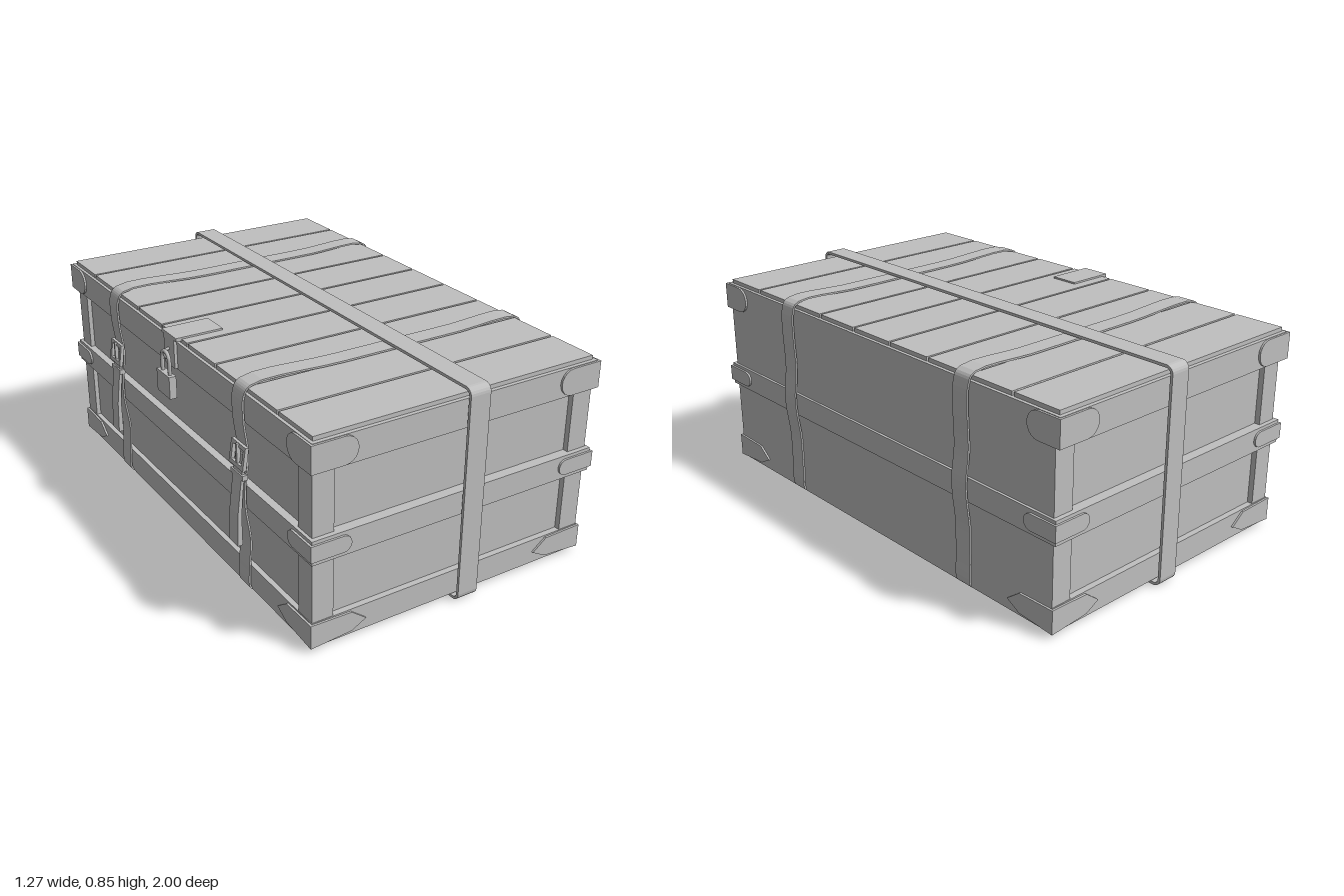
import * as THREE from 'three';

export function createModel() {
  const g = new THREE.Group();
  const grey = new THREE.MeshStandardMaterial({ color: 0xc0c0c0 });
  grey.name = 'plain grey';

  const add = (name, geo) => {
    const m = new THREE.Mesh(geo, grey);
    m.name = name;
    g.add(m);
    return m;
  };
  // box from its limits
  const box = (name, x0, x1, y0, y1, z0, z1) => {
    const geo = new THREE.BoxGeometry(x1 - x0, y1 - y0, z1 - z0);
    geo.translate((x0 + x1) / 2, (y0 + y1) / 2, (z0 + z1) / 2);
    return add(name, geo);
  };
  const extrude = (shape, depth) => {
    const geo = new THREE.ExtrudeGeometry(shape, { depth, bevelEnabled: false, curveSegments: 10 });
    return geo.translate(0, 0, -depth / 2);
  };
  // closed band: outline pushed inwards (outline runs anticlockwise)
  const bandShape = (pts, t) => {
    const n = pts.length;
    const inner = pts.map((p, i) => {
      const d = pts[(i + 1) % n].clone().sub(pts[(i + n - 1) % n]).normalize();
      return new THREE.Vector2(p.x - d.y * t, p.y + d.x * t);
    });
    const s = new THREE.Shape(pts);
    s.holes.push(new THREE.Path(inner));
    return s;
  };
  const V = (a) => a.map(([x, y]) => new THREE.Vector2(x, y));

  // crate core; the end panels and the hasp side sit back from their frames
  box('core', -0.562, 0.61, 0.015, 0.806, -0.938, 0.938);

  // frames and rails on both ends
  for (const s of [-1, 1]) {
    const end = (name, x0, x1, y0, y1, zo) =>
      box(name, x0, x1, y0, y1, Math.min(s * 0.93, s * zo), Math.max(s * 0.93, s * zo));
    end('endTopRail', -0.592, 0.61, 0.695, 0.806, 0.978);
    end('endMiddleRail', -0.592, 0.62, 0.357, 0.45, 0.978);
    end('endBottomRail', -0.582, 0.61, 0.015, 0.115, 0.962);
    end('endStile', -0.58, -0.495, 0.1, 0.7, 0.96);
    end('endStile', 0.525, 0.61, 0.1, 0.7, 0.96);
    // return of the hasp-side frame
    box('sideStile', -0.58, -0.55, 0.1, 0.7, s > 0 ? 0.875 : -0.959, s > 0 ? 0.959 : -0.875);
  }

  // rails along the long sides
  box('sideTopRail', -0.592, -0.55, 0.695, 0.806, -0.977, 0.977);
  box('sideBottomRail', -0.582, -0.55, 0.015, 0.115, -0.961, 0.961);
  box('sideMiddleRail', -0.592, -0.55, 0.357, 0.45, -0.977, 0.977);
  box('sideMiddleRail', 0.6, 0.62, 0.357, 0.45, -0.977, 0.977);

  // lid planks with narrow gaps
  const pitch = 1.935 / 9;
  for (let i = 0; i < 9; i++) {
    const z = -0.9675 + i * pitch;
    box('lidPlank', -0.58, 0.597, 0.8, 0.822, z + 0.005, z + pitch - 0.005);
  }

  // corner caps: each outline runs inwards from the corner
  const rounded = (len, y0, y1) => {
    const r = (y1 - y0) / 2, pts = [[0, y0]];
    for (let i = 0; i <= 10; i++) {
      const a = -Math.PI / 2 + (Math.PI * i) / 10;
      pts.push([len - r + Math.cos(a) * r, y0 + r + Math.sin(a) * r]);
    }
    pts.push([0, y1]);
    return pts;
  };
  const pointed = (len) => [[0, 0.018], [len - 0.06, 0.03], [len, 0.062], [len - 0.06, 0.108], [0, 0.112]];
  // name, end outline, side outline, left face, right face, end face
  const caps = [
    ['topCornerCap', rounded(0.18, 0.7, 0.804), rounded(0.15, 0.7, 0.804), -0.592, 0.61, 0.978],
    ['middleCornerCap', rounded(0.16, 0.374, 0.437), rounded(0.15, 0.374, 0.437), -0.592, 0.62, 0.978],
    ['bottomCornerCap', pointed(0.225), pointed(0.22), -0.582, 0.61, 0.962],
  ];
  const t = 0.008;
  for (const [name, endPts, sidePts, xl, xr, ze] of caps) {
    for (const sx of [-1, 1]) for (const sz of [-1, 1]) {
      const xf = (sx > 0 ? xr : xl) + (sx * t) / 2;
      const zf = sz * (ze + t / 2);
      const e = extrude(new THREE.Shape(V(endPts.map(([u, v]) => [xf + sx * t / 2 - sx * u, v]))), t);
      add(name, e.translate(0, 0, zf));
      // turned so that shape x becomes -z
      const f = extrude(new THREE.Shape(V(sidePts.map(([u, v]) => [-(zf + sz * t / 2 - sz * u), v]))), t);
      add(name, f.rotateY(Math.PI / 2).translate(xf, 0, 0));
    }
  }

  // strap running lengthwise around the crate
  const loop = [];
  const r = 0.03;
  [[1, 0], [1, 0.848], [-1, 0.848], [-1, 0]].forEach(([u, v], k) => {
    const cu = u - Math.sign(u) * r, cv = v ? v - r : r;
    for (let i = 0; i <= 5; i++) {
      const a = (k - 1 + i / 5) * Math.PI / 2;
      loop.push(new THREE.Vector2(cu + r * Math.cos(a), cv + r * Math.sin(a)));
    }
  });
  add('longStrap', extrude(bandShape(loop, 0.011), 0.085).rotateY(Math.PI / 2).translate(0.057, 0, 0));

  // two slack straps across the crate, each with buckle and hanging tail
  const path = [
    [-0.57, 0.009], [0.0, 0.009], [0.59, 0.009], [0.615, 0.02], [0.618, 0.13], [0.619, 0.26],
    [0.632, 0.37], [0.634, 0.44], [0.621, 0.55], [0.625, 0.7], [0.621, 0.79], [0.6, 0.83],
    [0.3, 0.832], [-0.2, 0.832], [-0.57, 0.832], [-0.598, 0.8], [-0.602, 0.7], [-0.588, 0.57],
    [-0.602, 0.44], [-0.602, 0.36], [-0.584, 0.22], [-0.592, 0.1], [-0.59, 0.022],
  ];
  const curve = new THREE.CatmullRomCurve3(path.map(([x, y]) => new THREE.Vector3(x, y, 0)), true, 'centripetal');
  const wavy = curve.getPoints(110).slice(0, -1).map((p) => new THREE.Vector2(p.x, p.y));
  const tail = V([[-0.584, 0.56], [-0.598, 0.5], [-0.606, 0.42], [-0.613, 0.33], [-0.612, 0.21],
    [-0.632, 0.21], [-0.628, 0.34], [-0.616, 0.44], [-0.606, 0.51], [-0.596, 0.565]]);
  for (const z of [-0.522, 0.518]) {
    add('crossStrap', extrude(bandShape(wavy, 0.007), 0.075).translate(0, 0, z));
    add('strapTail', extrude(new THREE.Shape(tail), 0.062).translate(0, 0, z));

    // rectangular buckle frame with a prong
    const frame = new THREE.Shape(V([[-0.05, -0.045], [0.05, -0.045], [0.05, 0.045], [-0.05, 0.045]]));
    frame.holes.push(new THREE.Path(V([[-0.036, -0.03], [-0.036, 0.03], [0.036, 0.03], [0.036, -0.03]])));
    const buckle = add('buckle', extrude(frame, 0.014).rotateY(Math.PI / 2));
    buckle.position.set(-0.602, 0.56, z);
    buckle.rotation.z = -0.15;
    box('bucklePiece', -0.612, -0.598, 0.53, 0.605, z - 0.005, z + 0.005);
    box('strapKeeper', -0.613, -0.59, 0.475, 0.495, z - 0.042, z + 0.042);
  }

  // hasp folding from the lid over the side, with its staple
  box('haspTop', -0.604, -0.41, 0.815, 0.829, -0.06, 0.06);
  box('haspFlap', -0.604, -0.59, 0.7, 0.829, -0.045, 0.04);
  const staple = add('staple', new THREE.TorusGeometry(0.018, 0.006, 8, 20));
  staple.position.set(-0.606, 0.75, -0.004);

  // padlock
  const lockZ = -0.004;
  box('padlockBody', -0.635, -0.606, 0.585, 0.675, lockZ - 0.054, lockZ + 0.054);
  const bow = [[-0.03, 0.67], [-0.03, 0.73]];
  for (let i = 1; i < 8; i++) {
    const a = Math.PI - (Math.PI * i) / 8;
    bow.push([0.03 * Math.cos(a), 0.73 + 0.03 * Math.sin(a)]);
  }
  bow.push([0.03, 0.73], [0.03, 0.67]);
  const bowCurve = new THREE.CatmullRomCurve3(bow.map(([z, y]) => new THREE.Vector3(-0.62, y, lockZ + z)));
  add('padlockShackle', new THREE.TubeGeometry(bowCurve, 32, 0.008, 8));

  return g;
}
